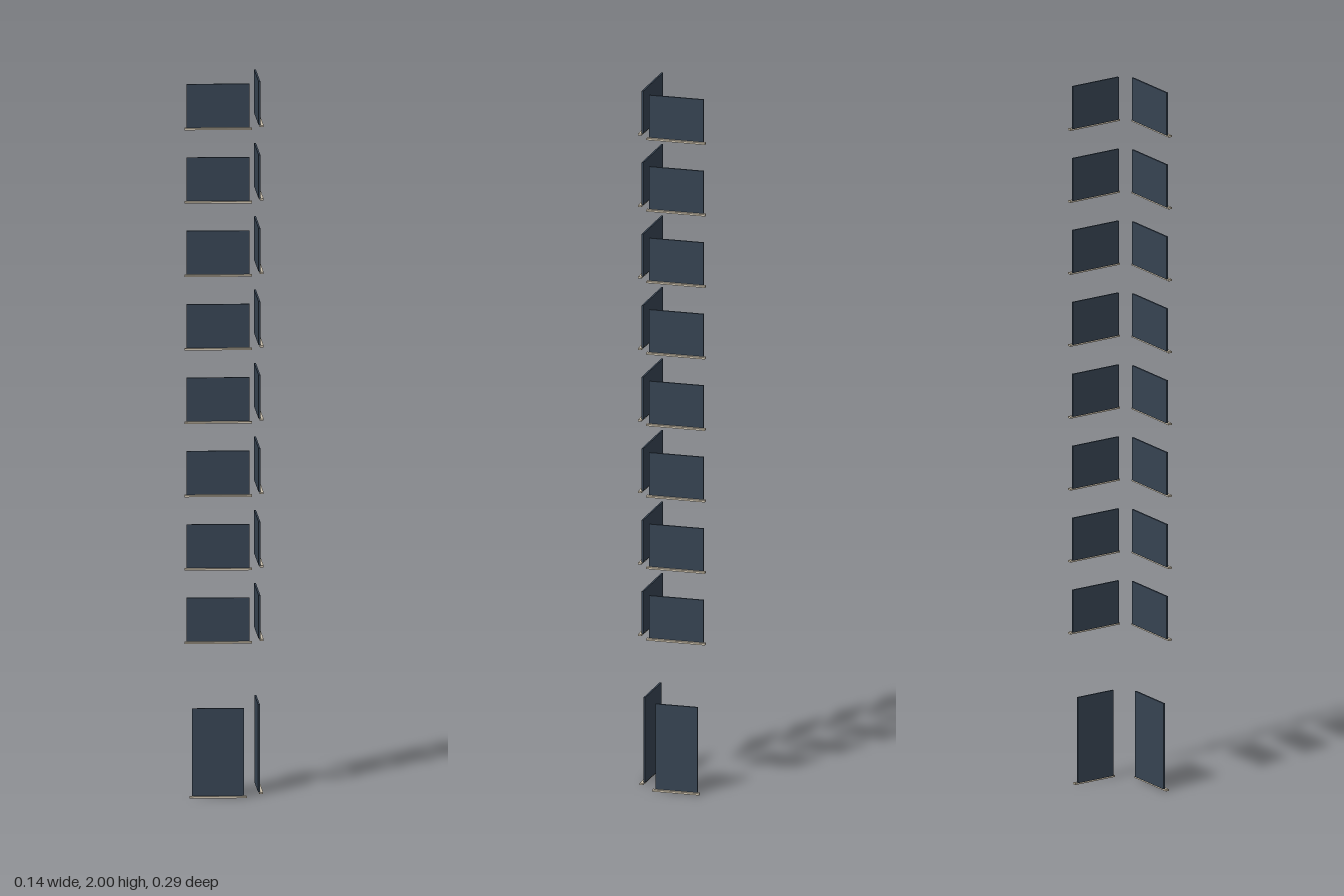
import * as THREE from 'three';

const glass = new THREE.MeshStandardMaterial({ color: 0x364352 });
glass.name = 'slateGlass';
const stone = new THREE.MeshStandardMaterial({ color: 0xcabfab });
stone.name = 'paleStone';

const SILL_HEIGHT = 0.005;

function box(name, w, h, d, material, y, z) {
  const mesh = new THREE.Mesh(new THREE.BoxGeometry(w, h, d), material);
  mesh.name = name;
  mesh.position.set(0, y, z);
  return mesh;
}

// One window: a thin pane set back on a projecting sill; local +z faces outward
function makeWindow(name, paneWidth, sillWidth, bottom, height) {
  const g = new THREE.Group();
  g.name = name;
  const paneHeight = height - SILL_HEIGHT;
  g.add(box('pane', paneWidth, paneHeight, 0.005, glass, bottom + SILL_HEIGHT + paneHeight / 2, -0.006));
  g.add(box('sill', sillWidth, SILL_HEIGHT, 0.0105, stone, bottom + SILL_HEIGHT / 2, 0));
  return g;
}

// One column: a tall ground window with eight equal windows above
function makeColumn(name, paneWidth, groundWidth) {
  const column = new THREE.Group();
  column.name = name;
  column.add(makeWindow('groundWindow', groundWidth, groundWidth + 0.014, 0, 0.25));
  for (let i = 0; i < 8; i++) {
    column.add(makeWindow('upperWindow', paneWidth, paneWidth + 0.012, 1.873 - 0.2057 * i, 0.127));
  }
  return column;
}

export function createModel() {
  const model = new THREE.Group();
  model.name = 'windowColumns';

  // The two columns face diagonally outward, forming a corner toward +x
  const front = makeColumn('frontColumn', 0.173, 0.143);
  front.position.set(-0.002, 0, 0.0775);
  front.rotation.y = Math.atan2(0.688, 0.725);

  const back = makeColumn('backColumn', 0.155, 0.119);
  back.position.set(0.005, 0, -0.0845);
  back.rotation.y = Math.atan2(0.692, -0.722);

  model.add(front, back);
  return model;
}
